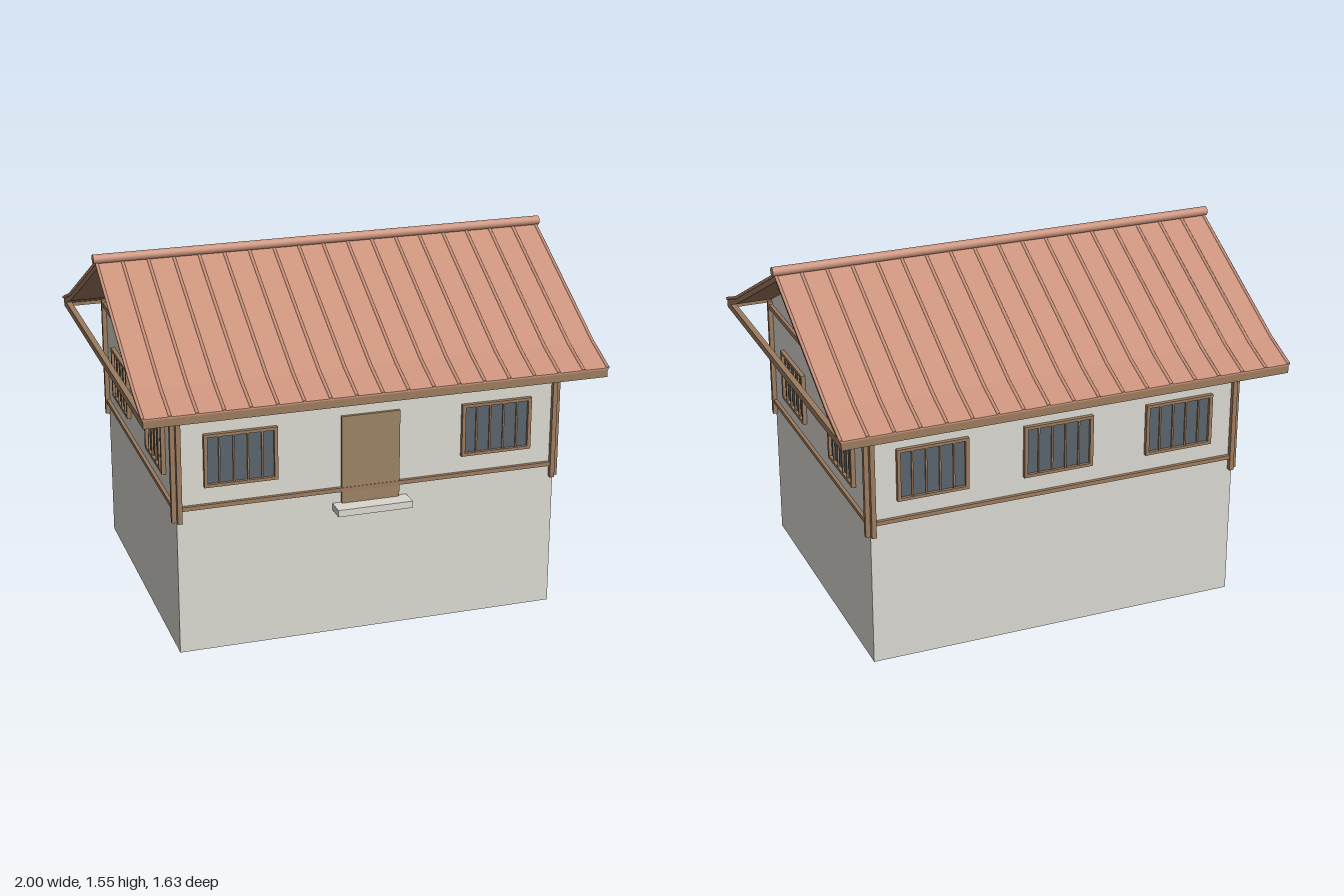
import * as THREE from 'three';

const material = (name, color, side = THREE.FrontSide) => {
  const m = new THREE.MeshStandardMaterial({ color, side });
  m.name = name;
  return m;
};

// Half size of the walls, and the roof line from ridge to eave as [z, y]
const WX = 0.825, WZ = 0.655;
const ROOF = [[0, 1.517], [0.65, 1.178], [0.81, 1.115]];

export function createModel() {
  const house = new THREE.Group();
  house.name = 'house';
  const plaster = material('plaster', 0xd9d7cf, THREE.DoubleSide);
  const timber = material('timber', 0x9b7b5e);
  const doorWood = material('doorWood', 0x9b8262);
  const glass = material('glass', 0x58636b);
  const tile = material('tile', 0xc8917a);

  const add = (parent, name, geometry, mat, x = 0, y = 0, z = 0) => {
    const mesh = new THREE.Mesh(geometry, mat);
    mesh.name = name;
    mesh.position.set(x, y, z);
    parent.add(mesh);
    return mesh;
  };
  const box = (parent, name, mat, w, h, d, x, y, z) =>
    add(parent, name, new THREE.BoxGeometry(w, h, d), mat, x, y, z);
  const group = (name, parent = house) => {
    const g = new THREE.Group();
    g.name = name;
    parent.add(g);
    return g;
  };

  // Thin walls, open underneath; the side walls rise into gables
  const walls = group('walls');
  const gable = new THREE.ShapeGeometry(new THREE.Shape([
    [-WZ, 0], [WZ, 0], [WZ, 1.15], [0, 1.49], [-WZ, 1.15],
  ].map(([x, y]) => new THREE.Vector2(x, y))));
  for (const s of [1, -1]) {
    const side = add(walls, 'gableWall', gable, plaster, s * WX);
    side.rotation.y = s * Math.PI / 2;
    const long = add(walls, 'longWall', new THREE.PlaneGeometry(2 * WX, 1.15), plaster, 0, 0.575, s * WZ);
    long.rotation.y = s > 0 ? 0 : Math.PI;
  }

  // Corner posts of two boards, and rails between them
  const frame = group('timberFrame');
  for (const sx of [1, -1]) {
    for (const sz of [1, -1]) {
      box(frame, 'postBoard', timber, 0.02, 0.55, 0.04, sx * (WX - 0.01), 0.865, sz * WZ);
      box(frame, 'postBoard', timber, 0.04, 0.55, 0.02, sx * WX, 0.865, sz * (WZ - 0.01));
    }
  }
  for (const s of [1, -1]) {
    for (const [y, h] of [[0.651, 0.018], [1.116, 0.022]]) {
      box(frame, 'longRail', timber, 1.61, h, 0.03, 0, y, s * WZ);
      box(frame, 'sideRail', timber, 0.03, h, 1.27, s * WX, y, 0);
    }
  }

  // Barred windows, built facing +z
  const addWindow = (x, z, angle) => {
    const w = group('window');
    w.position.set(x, 0.85, z);
    w.rotation.y = angle;
    box(w, 'pane', glass, 0.28, 0.205, 0.009, 0, 0, 0);
    for (const s of [1, -1]) {
      box(w, 'frameUpright', timber, 0.015, 0.23, 0.036, s * 0.1475, 0, 0);
      box(w, 'frameCrosspiece', timber, 0.28, 0.013, 0.036, 0, s * 0.1085, 0);
    }
    for (let i = 0; i < 4; i++) {
      box(w, 'bar', timber, 0.007, 0.216, 0.008, (i - 1.5) * 0.06, 0, 0.012);
    }
  };
  for (const s of [1, -1]) {
    addWindow(s * 0.555, WZ, 0);
    for (const z of [0.328, -0.328]) addWindow(s * WX, z, s * Math.PI / 2);
  }
  for (const x of [-0.555, 0, 0.555]) addWindow(x, -WZ, Math.PI);

  // Door and doorstep
  box(house, 'door', doorWood, 0.252, 0.385, 0.026, 0, 0.782, WZ);
  box(house, 'doorstep', plaster, 0.325, 0.03, 0.08, 0, 0.575, WZ + 0.04);

  // Roof layers: a band under the roof line, extruded along x
  const roof = group('roof');
  const layer = (name, mat, top, bottom, length) => {
    const line = (drop) => [
      ...ROOF.slice(1).reverse().map(([z, y]) => [-z, y - drop]),
      ...ROOF.map(([z, y]) => [z, y - drop]),
    ];
    const outline = [...line(top), ...line(bottom).reverse()];
    const shape = new THREE.Shape(outline.map(([z, y]) => new THREE.Vector2(z, y)));
    const geometry = new THREE.ExtrudeGeometry(shape, { depth: length, bevelEnabled: false });
    geometry.translate(0, 0, -length / 2).rotateY(Math.PI / 2);
    add(roof, name, geometry, mat);
  };
  layer('roofDeck', timber, 0.007, 0.032, 1.97);
  layer('roofTiles', tile, 0, 0.007, 1.974);

  // Raised seams down both slopes
  for (const s of [1, -1]) {
    for (let k = 0; k < 2; k++) {
      const a = new THREE.Vector3(0, ROOF[k][1], s * ROOF[k][0]);
      const b = new THREE.Vector3(0, ROOF[k + 1][1], s * ROOF[k + 1][0]);
      const run = b.clone().sub(a);
      const geometry = new THREE.CylinderGeometry(0.007, 0.007, run.length(), 6);
      for (let i = 0; i <= 18; i++) {
        const seam = add(roof, 'roofSeam', geometry, tile);
        seam.position.copy(a).add(b).multiplyScalar(0.5);
        seam.position.x = (i - 9) * 0.1095;
        seam.quaternion.setFromUnitVectors(new THREE.Vector3(0, 1, 0), run.clone().normalize());
      }
    }
    // Eave boards and the tie beams across the gable ends
    box(roof, 'eaveBoard', timber, 1.97, 0.03, 0.02, 0, 1.09, s * 0.8);
    box(roof, 'tieBeam', timber, 0.025, 0.03, 1.62, s * 0.972, 1.09, 0);
  }

  // Ridge cap
  const ridge = add(roof, 'ridgeCap', new THREE.CylinderGeometry(0.02, 0.02, 2, 16), tile, 0, 1.53, 0);
  ridge.rotation.z = Math.PI / 2;

  return house;
}
